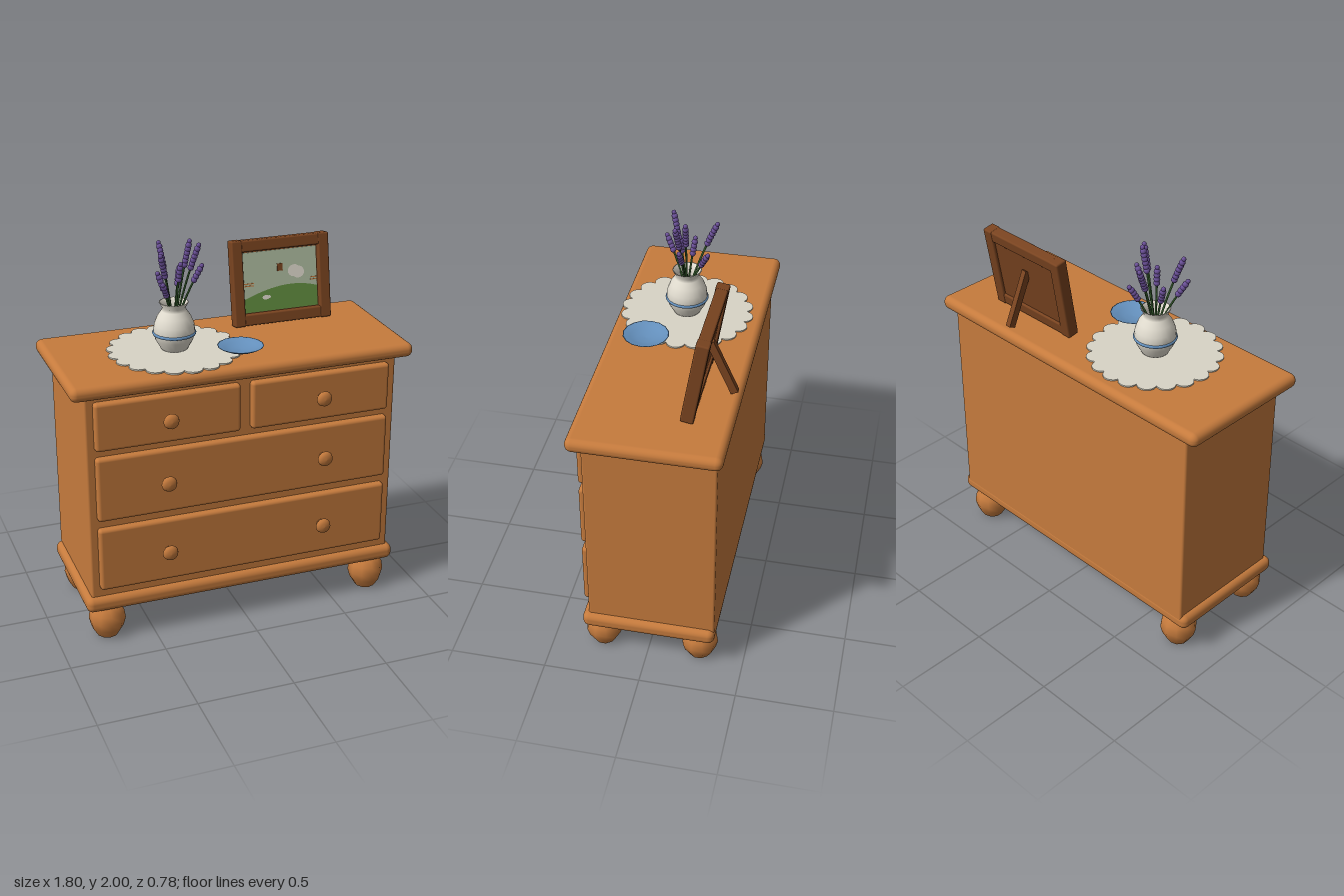
import * as THREE from 'three';
import { RoundedBoxGeometry } from 'three/addons/geometries/RoundedBoxGeometry.js';

const V = (x, y, z) => new THREE.Vector3(x, y, z);
const mat = (name, color, side = THREE.FrontSide) => {
  const m = new THREE.MeshStandardMaterial({ color, side });
  m.name = name;
  return m;
};

export function createModel() {
  const model = new THREE.Group();
  model.name = 'dresser';
  const wood = mat('honey wood', 0xc67b3d);
  const darkWood = mat('dark wood', 0x7a4420);
  const cream = mat('cream ceramic', 0xe2ddd0, THREE.DoubleSide);
  const linen = mat('linen', 0xd8d4c6);
  const blue = mat('blue glaze', 0x6591be, THREE.DoubleSide);
  const purple = mat('lavender purple', 0x6c5199);
  const green = mat('stem green', 0x33592b);
  const sky = mat('painted sky', 0xafbda1);
  const hillGreen = mat('painted hill', 0x628f40);

  const add = (parent, name, geo, material, x = 0, y = 0, z = 0) => {
    const mesh = new THREE.Mesh(geo, material);
    mesh.name = name;
    mesh.position.set(x, y, z);
    parent.add(mesh);
    return mesh;
  };
  // Rounded box given by its minimum and maximum corners
  const block = (parent, name, material, a, b, r) => add(parent, name,
    new RoundedBoxGeometry(b[0] - a[0], b[1] - a[1], b[2] - a[2], 3, r), material,
    (a[0] + b[0]) / 2, (a[1] + b[1]) / 2, (a[2] + b[2]) / 2);
  const lathe = (pts, n) => new THREE.LatheGeometry(pts.map(p => new THREE.Vector2(p[0], p[1])), n);

  // Carcass
  block(model, 'body', wood, [-0.825, 0.22, -0.355], [0.825, 1.38, 0.3], 0.012);
  block(model, 'top', wood, [-0.9, 1.358, -0.388], [0.9, 1.432, 0.36], 0.034);
  block(model, 'plinth', wood, [-0.855, 0.174, -0.357], [0.855, 0.258, 0.33], 0.034);

  // Bun feet
  const foot = lathe([[0, 0], [0.056, 0], [0.056, 0], [0.085, 0.048], [0.096, 0.09],
    [0.09, 0.135], [0.062, 0.18], [0, 0.185]], 10);
  for (const x of [-0.735, 0.735]) for (const z of [-0.265, 0.243]) add(model, 'foot', foot, wood, x, 0, z);

  // Drawers: x range, y range, knob positions
  const knob = lathe([[0.024, -0.01], [0.02, 0.018], [0.034, 0.022], [0.041, 0.034],
    [0.036, 0.047], [0.02, 0.055], [0, 0.057]], 16);
  knob.rotateX(Math.PI / 2);
  const drawers = [
    [-0.783, -0.032, 1.077, 1.332, [-0.408]],
    [0.026, 0.778, 1.077, 1.332, [0.402]],
    [-0.783, 0.778, 0.695, 1.04, [-0.424, 0.417]],
    [-0.783, 0.778, 0.305, 0.65, [-0.424, 0.417]],
  ];
  for (const [x0, x1, y0, y1, knobs] of drawers) {
    block(model, 'drawer', wood, [x0, y0, 0.285], [x1, y1, 0.336], 0.018);
    for (const x of knobs) add(model, 'knob', knob, wood, x, (y0 + y1) / 2, 0.334);
  }

  // Scalloped doily
  const rim = [];
  const lobes = 20, steps = 8;
  for (let i = 0; i < lobes * steps; i++) {
    const a = (i / (lobes * steps)) * Math.PI * 2;
    const f = ((i % steps) / steps - 0.5) * (Math.PI * 2 / lobes);
    const r = 0.293 * Math.cos(f) + Math.sqrt(0.0025 - (0.293 * Math.sin(f)) ** 2);
    const t = a - Math.PI / lobes;
    rim.push(new THREE.Vector2(r * Math.cos(t), r * Math.sin(t)));
  }
  const doily = new THREE.ExtrudeGeometry(new THREE.Shape(rim), { depth: 0.008, bevelEnabled: false });
  doily.rotateX(-Math.PI / 2);
  add(model, 'doily', doily, linen, -0.273, 1.431, 0.01);

  // Vase with a blue band
  const vase = new THREE.Group();
  vase.name = 'vase';
  vase.position.set(-0.272, 1.437, 0.012);
  model.add(vase);
  add(vase, 'vaseBody', lathe([[0, 0], [0.066, 0], [0.072, 0.012], [0.096, 0.055], [0.105, 0.095],
    [0.101, 0.135], [0.085, 0.175], [0.064, 0.205], [0.058, 0.22], [0.075, 0.248],
    [0.068, 0.248], [0.05, 0.218], [0.05, 0.18]], 24), cream);
  const band = new THREE.TorusGeometry(0.102, 0.009, 8, 28);
  band.rotateX(Math.PI / 2);
  add(vase, 'vaseBand', band, blue, 0, 0.088, 0);

  // Lavender sprigs, listed by tip position
  const tips = [
    [-0.365, 1.955, 0.1], [-0.365, 1.82, 0.135], [-0.3, 1.95, -0.135],
    [-0.184, 1.986, 0.005], [-0.152, 1.975, 0.05], [-0.128, 1.86, 0.025],
    [-0.205, 1.82, -0.105], [-0.245, 1.885, 0.045], [-0.345, 1.83, -0.015],
  ];
  const bud = new THREE.SphereGeometry(0.0165, 8, 6);
  for (const [x, y, z] of tips) {
    const sprig = new THREE.Group();
    sprig.name = 'lavender';
    model.add(sprig);
    const tip = V(x, y, z);
    const base = V(-0.272 + (x + 0.272) * 0.05, 1.56, 0.012 + (z - 0.012) * 0.05);
    const mid = V(-0.272 + (x + 0.272) * 0.4, 1.56 + (y - 1.56) * 0.52, 0.012 + (z - 0.012) * 0.4);
    const curve = new THREE.QuadraticBezierCurve3(base, mid, tip);
    add(sprig, 'stem', new THREE.TubeGeometry(curve, 10, 0.0055, 5), green);
    const len = curve.getLength();
    const count = y > 1.9 ? 7 : 5;
    for (let i = 0; i < count; i++) {
      const p = curve.getPointAt(1 - (i * 0.02) / len);
      add(sprig, 'bud', bud, purple, p.x, p.y, p.z).scale.setScalar(i === 0 ? 0.75 : 1);
    }
  }

  // Shallow dish
  add(model, 'dish', lathe([[0, 0], [0.045, 0], [0.085, 0.015], [0.118, 0.032],
    [0.112, 0.032], [0.08, 0.021], [0.045, 0.01], [0, 0.008]], 16), blue, 0.027, 1.438, 0.163);

  // Leaning picture frame
  const frame = new THREE.Group();
  frame.name = 'pictureFrame';
  frame.position.set(0.387, 1.436, -0.172);
  frame.rotation.x = -0.165;
  model.add(frame);
  for (const s of [-1, 1]) {
    add(frame, 'frameSide', new RoundedBoxGeometry(0.06, 0.452, 0.066, 2, 0.009), darkWood, s * 0.242, 0.226, 0);
    add(frame, 'frameRail', new RoundedBoxGeometry(0.53, 0.06, 0.06, 2, 0.009), darkWood, 0, 0.226 + s * 0.194, 0);
  }
  add(frame, 'backBoard', new THREE.BoxGeometry(0.45, 0.36, 0.016), darkWood, 0, 0.226, -0.01);

  // Painted landscape in thin layers
  add(frame, 'sky', new THREE.BoxGeometry(0.416, 0.316, 0.004), sky, 0, 0.224, 0);
  const hill = new THREE.Shape();
  hill.moveTo(-0.208, 0.066);
  hill.lineTo(0.208, 0.066);
  hill.lineTo(0.208, 0.172);
  hill.bezierCurveTo(0.1, 0.205, -0.02, 0.21, -0.208, 0.135);
  add(frame, 'hill', new THREE.ShapeGeometry(hill, 16), hillGreen, 0, 0, 0.004);
  const oval = (name, x, y, rx, ry, z) =>
    add(frame, name, new THREE.CircleGeometry(1, 20), cream, x, y, z).scale.set(rx, ry, 1);
  oval('cloud', 0.08, 0.264, 0.036, 0.032, 0.005);
  oval('cloud', 0.102, 0.255, 0.034, 0.032, 0.0055);
  oval('sheep', -0.085, 0.139, 0.02, 0.012, 0.006);
  oval('sheepHead', -0.068, 0.14, 0.01, 0.008, 0.0065);
  for (const [x, w] of [[-0.178, 0.055], [0.188, 0.038]])
    for (const y of [0.207, 0.219])
      add(frame, 'sunsetStreak', new THREE.BoxGeometry(w, 0.005, 0.003), wood, x, y, 0.006);
  add(frame, 'paintedPost', new THREE.BoxGeometry(0.03, 0.038, 0.008), darkWood, 0, 0.29, 0.004);

  // Rear strut of the frame
  const strut = add(model, 'frameStrut', new THREE.BoxGeometry(0.03, 0.3, 0.038), darkWood, 0.388, 1.588, -0.295);
  strut.rotation.x = 0.42;

  return model;
}
